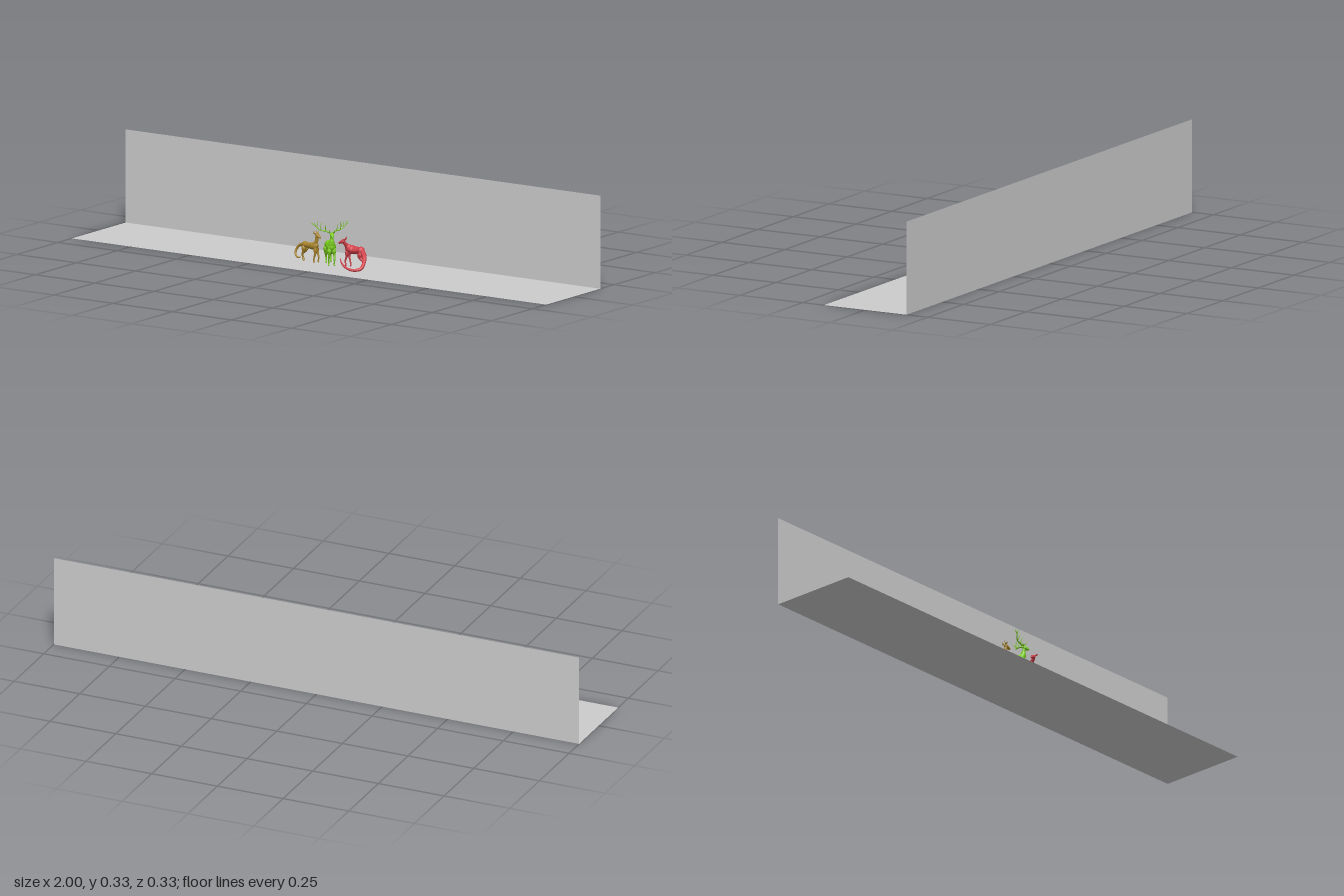
import * as THREE from 'three';

const V = (p) => new THREE.Vector3(...p);

// Smooth tapered tube: radii are spread evenly along the curve, ends closed to a point
function taper(name, mat, pts, radii, sides = 10, steps = 24) {
  const curve = new THREE.CatmullRomCurve3(pts.map(V));
  const geo = new THREE.TubeGeometry(curve, steps, 1, sides, false);
  const pos = geo.attributes.position;
  const v = new THREE.Vector3();
  for (let i = 0; i <= steps; i++) {
    const t = i / steps;
    const c = curve.getPointAt(t);
    const f = t * (radii.length - 1);
    const k = Math.min(Math.floor(f), radii.length - 2);
    let r = THREE.MathUtils.lerp(radii[k], radii[k + 1], THREE.MathUtils.smoothstep(f - k, 0, 1));
    if (i === 0 || i === steps) r = 0.00001;
    for (let j = 0; j <= sides; j++) {
      const n = i * (sides + 1) + j;
      v.fromBufferAttribute(pos, n).sub(c).multiplyScalar(r).add(c);
      pos.setXYZ(n, v.x, v.y, v.z);
    }
  }
  geo.computeVertexNormals();
  const mesh = new THREE.Mesh(geo, mat);
  mesh.name = name;
  return mesh;
}

// Four-legged animal facing local +z; shift moves the neck and head sideways
function animal(name, o) {
  const mat = new THREE.MeshStandardMaterial({ color: o.color });
  const group = new THREE.Group();
  group.name = name;
  const body = new THREE.Group();
  body.name = name + 'Body';
  body.position.set(o.at[0], 0, o.at[1]);
  body.rotation.y = o.yaw;
  group.add(body);
  const { half: h, back: y, girth: g, shift: s = 0, head } = o;
  const [hy, hz] = head;

  // Torso and neck
  body.add(taper('torso', mat, [
    [0, y - 0.006, -h - 0.007], [0, y, -h], [0, y, -h * 0.3], [0, y, h * 0.4],
    [s * 0.15, y + 0.005, h + 0.002], [s * 0.25, y + 0.012, h + 0.009],
  ], [0.004, g * 0.95, g * 0.85, g * 0.95, g * 1.1, g * 0.9, 0.003], 14, 32));
  body.add(taper('neck', mat, [
    [0, y, h * 0.6], [s * 0.4, y + 0.014, h + 0.001],
    [s * 0.8, (y + hy) / 2 + 0.008, (h + hz) / 2 + 0.001], [s, hy, hz],
  ], [0.006, g * 0.8, g * 0.55, 0.006, 0.005], 12));

  // Head with muzzle, ears
  const skull = new THREE.Group();
  skull.name = 'head';
  skull.position.set(s, hy, hz);
  skull.rotation.y = o.turn ?? 0;
  body.add(skull);
  skull.add(taper('muzzle', mat, [[0, 0, -0.007], [0, 0.001, 0], [0, -0.003, 0.01], [0, -0.007, 0.019]],
    [0.003, 0.0075, 0.007, 0.0045, 0.0028], 10, 16));

  for (const m of [1, -1]) {
    skull.add(taper('ear', mat, [[m * 0.004, 0.004, -0.003], [m * 0.009, 0.008, -0.004], [m * 0.014, 0.012, -0.005]],
      [0.001, 0.003, 0.0004], 6, 8));
    // Antlers or horns
    for (const [pts, r] of o.horns) {
      skull.add(taper('horn', mat, pts.map(([a, b, c]) => [a * m, b, c]), [r, r * 0.9, r * 0.3], 6, 14));
    }
    // Legs, the pairs slightly out of step
    const x = m * g * 0.55, step = m * 0.005;
    body.add(taper('frontLeg', mat, [
      [x * 0.8, y, h], [x, y * 0.62, h + 0.002], [x, y * 0.36, h + 0.003 + step],
      [x, 0.009, h + step], [x, 0.003, h + 0.004 + step],
    ], [0.006, g * 0.5, 0.004, 0.003, 0.0024, 0.003], 8));
    body.add(taper('hindLeg', mat, [
      [x * 0.8, y, -h + 0.002], [x, y * 0.68, -h + 0.003], [x, y * 0.4, -h - 0.007 - step],
      [x, 0.01, -h - 0.004 - step], [x, 0.003, -h + 0.001 - step],
    ], [0.006, g * 0.7, g * 0.42, 0.003, 0.0025, 0.003], 8));
  }

  // Tail
  group.add(taper('tail', mat, o.tail, o.tailRadii, 10, 40));
  return group;
}

function panel(name, y, z, tilt) {
  const mat = new THREE.MeshStandardMaterial({ color: 0xcccccc, side: THREE.DoubleSide });
  const mesh = new THREE.Mesh(new THREE.PlaneGeometry(2, 0.33), mat);
  mesh.name = name;
  mesh.position.set(0, y, z);
  mesh.rotation.x = tilt;
  return mesh;
}

export function createModel() {
  const model = new THREE.Group();
  model.name = 'animalDiorama';
  model.add(panel('floor', 0, 0, -Math.PI / 2), panel('backWall', 0.165, -0.165, 0));

  // Branching antlers: main beam and tines
  const antlers = [
    [[[0.003, 0.005, -0.003], [0.016, 0.01, -0.014], [0.038, 0.014, -0.026], [0.053, 0.028, -0.026], [0.058, 0.045, -0.022]], 0.0024],
    [[[0.018, 0.01, -0.015], [0.021, 0.024, -0.009], [0.02, 0.036, -0.004]], 0.0016],
    [[[0.034, 0.013, -0.024], [0.036, 0.028, -0.018], [0.034, 0.043, -0.014]], 0.0016],
    [[[0.046, 0.02, -0.027], [0.047, 0.032, -0.027], [0.045, 0.046, -0.025]], 0.0015],
    [[[0.053, 0.028, -0.026], [0.062, 0.034, -0.031], [0.067, 0.042, -0.034]], 0.0014],
    [[[0.005, 0.006, -0.003], [0.009, 0.013, 0.005], [0.01, 0.022, 0.009]], 0.0014],
  ];
  const horns = [[[[0.003, 0.004, -0.003], [0.006, 0.011, -0.008], [0.006, 0.018, -0.01]], 0.0016]];

  model.add(animal('antleredDeer', {
    color: 0x7ccf1f, at: [-0.002, 0.033], yaw: Math.PI / 4, half: 0.027, back: 0.068, girth: 0.0165,
    head: [0.114, 0.033], horns: antlers,
    tail: [[-0.023, 0.068, 0.012], [-0.028, 0.075, 0.006], [-0.031, 0.078, 0.002]],
    tailRadii: [0.003, 0.006, 0.002],
  }));

  model.add(animal('longTailedRedBeast', {
    color: 0xd23f48, at: [0.105, 0.034], yaw: -Math.PI / 2, half: 0.029, back: 0.066, girth: 0.0145,
    shift: 0.022, head: [0.096, 0.034], turn: 0.25, horns,
    tail: [[0.135, 0.066, 0.036], [0.15, 0.054, 0.046], [0.163, 0.032, 0.066], [0.162, 0.014, 0.087],
      [0.138, 0.01, 0.102], [0.11, 0.018, 0.105], [0.09, 0.033, 0.099], [0.08, 0.045, 0.09]],
    tailRadii: [0.009, 0.008, 0.0065, 0.006, 0.005, 0.004, 0.003, 0.001],
  }));

  model.add(animal('longTailedBrownBeast', {
    color: 0xa8842a, at: [-0.086, 0.034], yaw: Math.PI / 2 - 0.15, half: 0.028, back: 0.06, girth: 0.0115,
    head: [0.1, 0.033], horns,
    tail: [[-0.112, 0.06, 0.03], [-0.128, 0.058, 0.027], [-0.143, 0.047, 0.026],
      [-0.149, 0.031, 0.03], [-0.143, 0.017, 0.036], [-0.13, 0.013, 0.038], [-0.121, 0.018, 0.037]],
    tailRadii: [0.006, 0.005, 0.0045, 0.004, 0.0035, 0.003, 0.001],
  }));
  return model;
}
